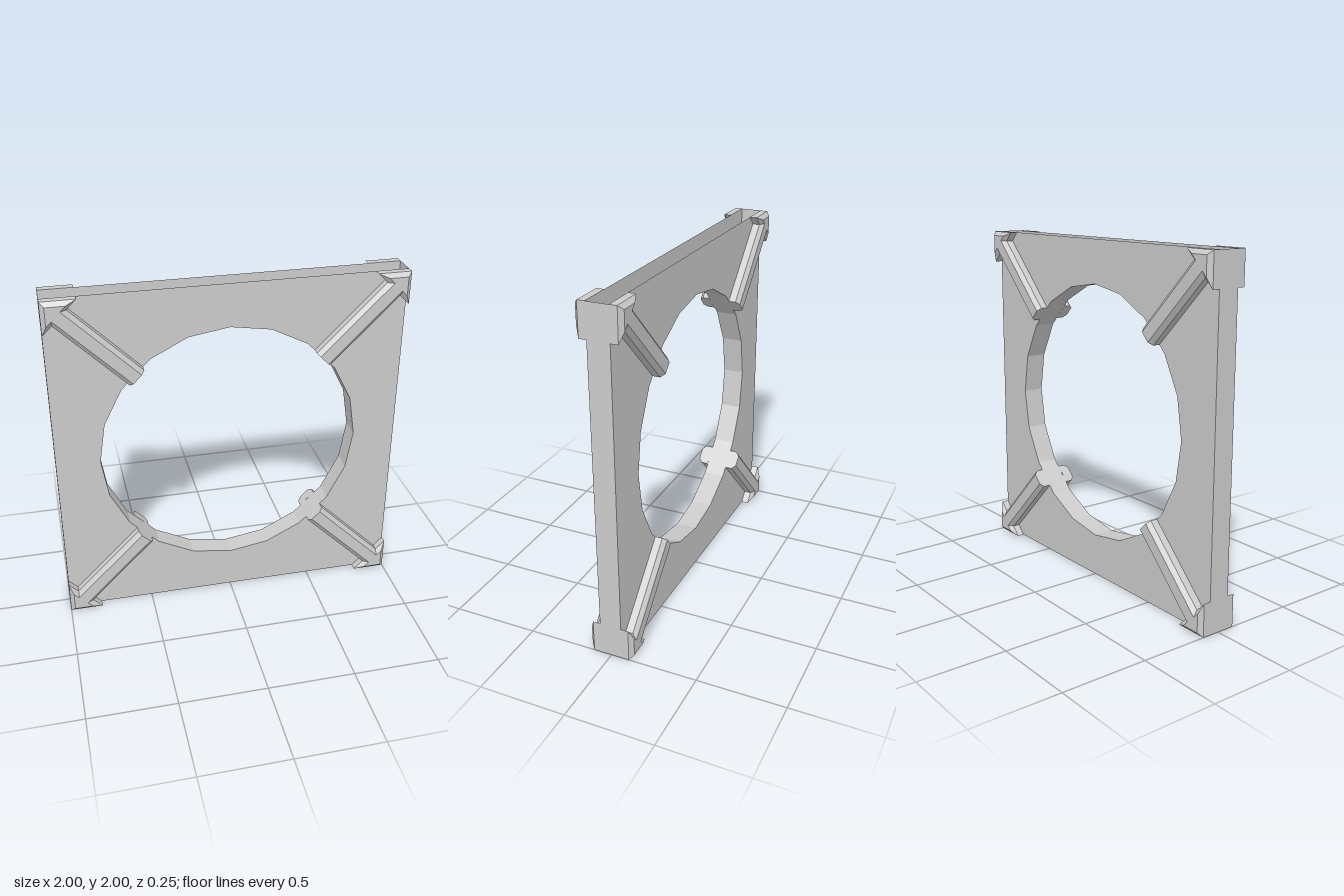
import * as THREE from 'three';

const PLATE = 0.0625, SHOULDER = 0.105, TOP = 0.1275; // half depths in z
const HOLE = 0.75, SIDES = 20;

const material = new THREE.MeshStandardMaterial({
  color: 0xcccccc, flatShading: true, side: THREE.DoubleSide,
});

function mesh(name, geometry) {
  const m = new THREE.Mesh(geometry, material);
  m.name = name;
  return m;
}

// Square sheet with a twenty-sided hole
function sheetGeometry() {
  const shape = new THREE.Shape();
  shape.moveTo(-1, -1).lineTo(1, -1).lineTo(1, 1).lineTo(-1, 1).closePath();
  const points = [];
  for (let i = 0; i < SIDES; i++) {
    const a = -i / SIDES * Math.PI * 2;
    points.push(new THREE.Vector2(HOLE * Math.cos(a), HOLE * Math.sin(a)));
  }
  shape.holes.push(new THREE.Path(points));
  return new THREE.ShapeGeometry(shape);
}

// Diagonal rib with a triangular corner foot, bevelled on its outer face.
// Points are distances inward from the corner.
function braceGeometry() {
  const place = ([u, v]) => new THREE.Vector2(1 - u, 1 - v);
  const mirrored = (half) => [...half, ...half.slice(1).reverse().map(([u, v]) => [v, u])].map(place);
  const outer = mirrored([[0, 0], [0.19, 0], [0.136, 0.054], [0.5175, 0.4355]]);
  const inner = mirrored([[0.024, 0.024], [0.132, 0.024], [0.102, 0.054], [0.5005, 0.4525]]);
  const rings = [[outer, PLATE], [outer, SHOULDER], [inner, TOP]];
  const positions = [];
  const add = (r, i) => {
    const [ring, z] = rings[r];
    const p = ring[i % ring.length];
    positions.push(p.x, p.y, z);
  };
  for (let r = 0; r < 2; r++) {
    for (let i = 0; i < outer.length; i++) {
      add(r, i); add(r, i + 1); add(r + 1, i + 1);
      add(r, i); add(r + 1, i + 1); add(r + 1, i);
    }
  }
  for (const face of THREE.ShapeUtils.triangulateShape(inner, [])) face.forEach((i) => add(2, i));
  const geometry = new THREE.BufferGeometry();
  geometry.setAttribute('position', new THREE.Float32BufferAttribute(positions, 3));
  geometry.computeVertexNormals();
  return geometry;
}

export function createModel() {
  const model = new THREE.Group();
  model.name = 'framePanel';
  const body = new THREE.Group();
  body.name = 'panelBody';
  body.position.y = 1;
  model.add(body);

  // Front and back sheets
  const sheet = sheetGeometry();
  const front = mesh('frontSheet', sheet);
  front.position.z = PLATE;
  const back = mesh('backSheet', sheet);
  back.position.z = -PLATE;
  back.rotation.y = Math.PI;
  body.add(front, back);

  // Wall inside the round opening
  const rim = new THREE.CylinderGeometry(HOLE, HOLE, PLATE * 2, SIDES, 1, true);
  rim.rotateX(Math.PI / 2);
  body.add(mesh('openingWall', rim));

  // Side walls; the top and bottom edges stay open
  for (const s of [1, -1]) {
    const wall = mesh(s > 0 ? 'leftWall' : 'rightWall', new THREE.PlaneGeometry(PLATE * 2, 2));
    wall.rotation.y = s * Math.PI / 2;
    wall.position.x = s;
    body.add(wall);
  }

  // Corner braces on both faces
  const brace = braceGeometry();
  for (const x of [1, -1]) for (const y of [1, -1]) for (const z of [1, -1]) {
    const name = `${z > 0 ? 'front' : 'back'}${y > 0 ? 'Upper' : 'Lower'}${x > 0 ? 'Left' : 'Right'}Brace`;
    const m = mesh(name, brace);
    m.scale.set(x, y, z);
    body.add(m);
  }
  return model;
}
